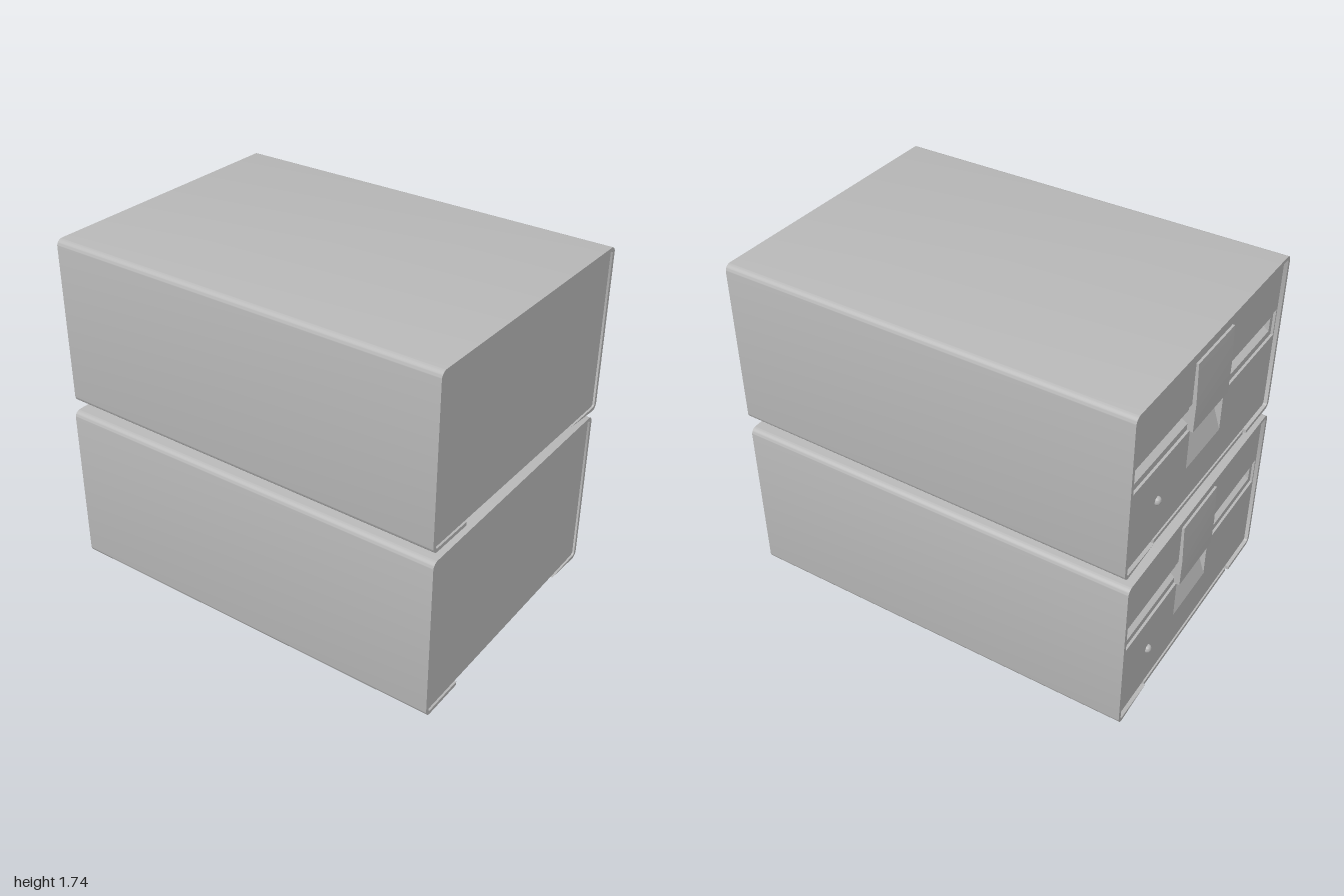
import * as THREE from 'three';
import { toCreasedNormals } from 'three/addons/utils/BufferGeometryUtils.js';

const grey = new THREE.MeshStandardMaterial({ color: 0xb8b8b8 });
grey.name = 'light grey';

const W = 0.6975, L = 0.9925;          // half width, half length of one case
const BOTTOM = 0.045, TOP = 0.865, WALL = 0.018;

function addMesh(parent, name, geometry, x = 0, y = 0, z = 0) {
  const mesh = new THREE.Mesh(toCreasedNormals(geometry, 0.6), grey);
  mesh.name = name;
  mesh.position.set(x, y, z);
  parent.add(mesh);
  return mesh;
}

// side profile of [distance toward -z, height], swept across x
function sweepX(points, x0, x1) {
  const shape = new THREE.Shape(points.map(p => new THREE.Vector2(p[0], p[1])));
  const geo = new THREE.ExtrudeGeometry(shape, { depth: x1 - x0, bevelEnabled: false });
  geo.rotateY(Math.PI / 2);
  return geo.translate(x0, 0, 0);
}

// wrap-around sleeve outline, open along the middle of the underside
function sleeve() {
  const gap = 0.45, r = 0.032, ri = r - WALL, q = Math.PI / 2;
  const xr = W - r, yb = BOTTOM + r, yt = TOP - r;
  const s = new THREE.Shape();
  s.moveTo(gap, BOTTOM);
  s.absarc(xr, yb, r, -q, 0, false);
  s.absarc(xr, yt, r, 0, q, false);
  s.absarc(-xr, yt, r, q, 2 * q, false);
  s.absarc(-xr, yb, r, 2 * q, 3 * q, false);
  s.lineTo(-gap, BOTTOM);
  s.lineTo(-gap, BOTTOM + WALL);
  s.absarc(-xr, yb, ri, 3 * q, 2 * q, true);
  s.absarc(-xr, yt, ri, 2 * q, q, true);
  s.absarc(xr, yt, ri, q, 0, true);
  s.absarc(xr, yb, ri, 0, -q, true);
  s.lineTo(gap, BOTTOM + WALL);
  s.closePath();
  const geo = new THREE.ExtrudeGeometry(s, { depth: 2 * L, bevelEnabled: false, curveSegments: 6 });
  return geo.translate(0, 0, -L);
}

// drive face with a T-shaped opening for the disk slot and finger pocket
function facePanel() {
  const x = W - WALL, y0 = BOTTOM + WALL, y1 = TOP - WALL;
  const s = new THREE.Shape([[-x, y0], [x, y0], [x, y1], [-x, y1]].map(p => new THREE.Vector2(...p)));
  s.holes.push(new THREE.Path([
    [-0.67, 0.59], [0.67, 0.59], [0.67, 0.455], [0.16, 0.455],
    [0.16, 0.25], [-0.16, 0.25], [-0.16, 0.455], [-0.67, 0.455],
  ].map(p => new THREE.Vector2(...p))));
  return new THREE.ExtrudeGeometry(s, { depth: 0.09, bevelEnabled: false });
}

function createDrive() {
  const drive = new THREE.Group();
  drive.name = 'diskDrive';
  const midY = (TOP + BOTTOM) / 2, innerH = TOP - BOTTOM - 2 * WALL;

  // case
  addMesh(drive, 'caseSleeve', sleeve());
  addMesh(drive, 'plainEndPanel', new THREE.BoxGeometry(2 * (W - WALL), innerH, 0.03), 0, midY, L - 0.025);
  addMesh(drive, 'bottomPlate', new THREE.BoxGeometry(2 * (W - WALL) - 0.02, 0.012, 2 * L - 0.05), 0, 0.0685, 0);
  addMesh(drive, 'bottomRamp', sweepX([[0.79, 0.064], [L - 0.01, BOTTOM], [L - 0.01, 0.064]], -0.435, 0.435));

  // drive face
  addMesh(drive, 'drivePanel', facePanel(), 0, 0, -L + 0.018);
  const a = L - 0.03, back = L - 0.1;
  addMesh(drive, 'diskSlot', sweepX([
    [back, 0.455], [a, 0.455], [a, 0.487], [a - 0.045, 0.518],
    [a - 0.045, 0.53], [a, 0.556], [a, 0.59], [back, 0.59],
  ], -0.64, 0.64));
  for (const side of [-1, 1]) {
    addMesh(drive, 'slotEnd', new THREE.BoxGeometry(0.03, 0.135, 0.07), side * 0.655, 0.5225, -(a - 0.035));
  }
  addMesh(drive, 'fingerPocket', sweepX([[back, 0.25], [L - 0.018, 0.25], [L - 0.085, 0.455], [back, 0.455]], -0.16, 0.16));
  addMesh(drive, 'latchFlap', sweepX([
    [L - 0.06, 0.453], [L - 0.002, 0.453], [L, 0.6], [L - 0.007, 0.79], [L - 0.06, 0.79],
  ], -0.165, 0.165));
  addMesh(drive, 'indicatorLight', new THREE.SphereGeometry(0.02, 16, 12), 0.42, 0.268, -L + 0.018);

  // tapered feet
  for (const x of [-0.367, 0.367]) for (const z of [-0.555, 0.715]) {
    const foot = new THREE.CylinderGeometry(0.11, 0.089, 0.064, 4);
    foot.rotateY(Math.PI / 4);
    addMesh(drive, 'foot', foot, x, 0.032, z);
  }
  return drive;
}

export function createModel() {
  const model = new THREE.Group();
  model.name = 'stackedDiskDrives';

  // lower unit sits slightly askew
  const lower = createDrive();
  lower.name = 'lowerDrive';
  lower.rotation.y = 0.0105;

  const upper = createDrive();
  upper.name = 'upperDrive';
  upper.position.set(0, 0.87, 0.009);

  model.add(lower, upper);
  return model;
}
